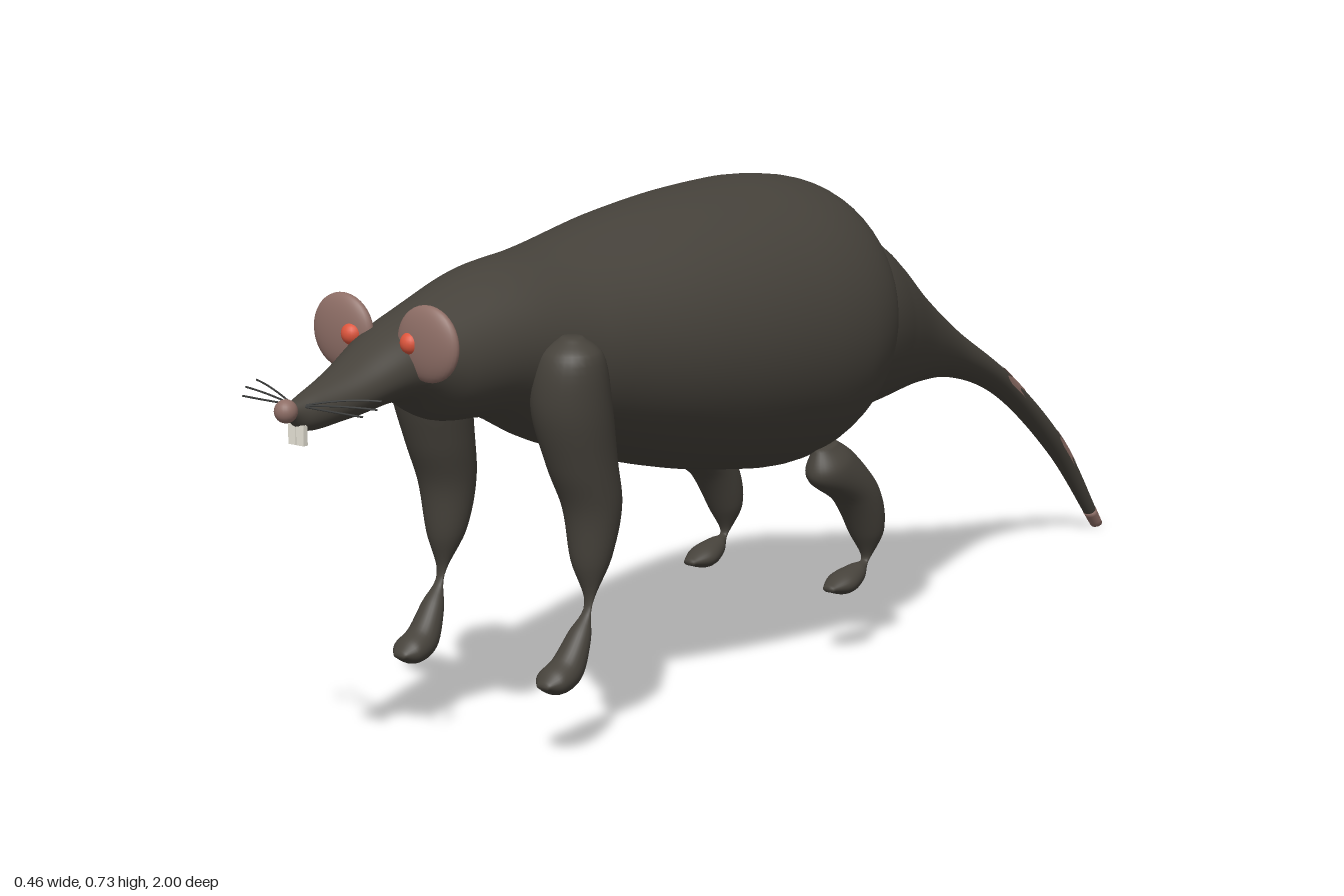
import * as THREE from 'three';
import { mergeVertices } from 'three/addons/utils/BufferGeometryUtils.js';

const mat = (name, color, side = THREE.FrontSide) => {
  const m = new THREE.MeshStandardMaterial({ color, side });
  m.name = name;
  return m;
};

// Smooth skin through elliptical rings. Ring: [zA, yA, zB, yB, centreX, halfWidth],
// where A and B are the two ends of the ellipse's axis in the side plane.
function loft(rings, { t0 = 0, t1 = 1, a0 = 0, a1 = Math.PI * 2, grow = 1, jag = 0, rows = 60, cols = 40, cap = true } = {}) {
  const A = new THREE.CatmullRomCurve3(rings.map(r => new THREE.Vector3(r[4], r[1], r[0])));
  const B = new THREE.CatmullRomCurve3(rings.map(r => new THREE.Vector3(r[4], r[3], r[2])));
  const W = new THREE.CatmullRomCurve3(rings.map((r, i) => new THREE.Vector3(r[5], i, 0)));
  const steps = [];
  if (cap) steps.push([t0, 0]);
  for (let i = 0; i <= rows; i++) steps.push([t0 + (t1 - t0) * i / rows, grow]);
  if (cap) steps.push([t1, 0]);
  const pos = [], idx = [];
  steps.forEach(([t, s], i) => {
    for (let j = 0; j <= cols; j++) {
      const ang = a0 + (a1 - a0) * j / cols;
      const u = Math.min(1, t + jag * (j % 4 < 2 ? 1 : 0));
      const p = A.getPoint(u), q = B.getPoint(u), w = Math.max(W.getPoint(u).x, 0.002);
      const c = p.clone().add(q).multiplyScalar(0.5);
      const k = Math.cos(ang) * s;
      pos.push(c.x + Math.sin(ang) * s * w, c.y + (p.y - c.y) * k, c.z + (p.z - c.z) * k);
      if (i && j) {
        const d = i * (cols + 1) + j, b = d - cols - 1;
        idx.push(b - 1, b, d - 1, b, d, d - 1);
      }
    }
  });
  let g = new THREE.BufferGeometry();
  g.setAttribute('position', new THREE.Float32BufferAttribute(pos, 3));
  g.setIndex(idx);
  g = mergeVertices(g, 1e-5);
  g.computeVertexNormals();
  return g;
}

export function createModel() {
  const root = new THREE.Group();
  root.name = 'rat';
  const fur = mat('fur', 0x46423b);
  const skin = mat('skin', 0x8e6e66);
  const bare = mat('bareSkin', 0x8e6e66, THREE.DoubleSide);
  const eyeRed = mat('eyeRed', 0xdc553c);
  const ivory = mat('ivory', 0xe6e2d6);
  const bristle = mat('bristle', 0x3c3d3c);
  const add = (name, geo, material, x = 0, y = 0, z = 0) => {
    const m = new THREE.Mesh(geo, material);
    m.name = name;
    m.position.set(x, y, z);
    root.add(m);
    return m;
  };

  // Head and trunk, from snout to rump
  add('body', loft([
    [0.985, 0.555, 0.98, 0.54, 0, 0.009],
    [0.945, 0.568, 0.955, 0.518, 0, 0.023],
    [0.87, 0.592, 0.88, 0.52, 0, 0.044],
    [0.78, 0.632, 0.78, 0.527, 0, 0.068],
    [0.70, 0.657, 0.70, 0.487, 0, 0.09],
    [0.585, 0.685, 0.595, 0.472, 0, 0.115],
    [0.45, 0.695, 0.47, 0.413, 0, 0.15],
    [0.25, 0.72, 0.25, 0.34, 0, 0.2],
    [0.08, 0.73, 0.08, 0.303, 0, 0.225],
    [-0.05, 0.727, -0.03, 0.291, 0, 0.226],
    [-0.14, 0.705, -0.10, 0.308, 0, 0.204],
    [-0.185, 0.66, -0.135, 0.335, 0, 0.165],
    [-0.19, 0.61, -0.145, 0.37, 0, 0.13],
  ], { rows: 90, cols: 56 }), fur);

  // Tail, thick at the root
  const tail = [
    [-0.17, 0.638, -0.125, 0.333, 0, 0.15],
    [-0.20, 0.64, -0.16, 0.334, 0, 0.156],
    [-0.27, 0.612, -0.27, 0.338, 0, 0.133],
    [-0.40, 0.512, -0.42, 0.346, 0, 0.085],
    [-0.53, 0.423, -0.54, 0.335, 0, 0.048],
    [-0.70, 0.318, -0.68, 0.283, 0, 0.026],
    [-0.87, 0.175, -0.85, 0.15, 0, 0.018],
    [-0.995, 0.012, -0.98, 0.003, 0, 0.01],
  ];
  add('tail', loft(tail, { rows: 70 }), fur);
  // Ragged bare patches on the tail's upper side and its bare tip
  for (const [t0, t1] of [[0.70, 0.735], [0.84, 0.88]])
    add('tailPatch', loft(tail, { t0, t1, a0: -1.6, a1: 1.6, grow: 1.06, jag: 0.014, rows: 6, cols: 16, cap: false }), bare);
  add('tailTip', loft(tail, { t0: 0.975, t1: 1, grow: 1.06, rows: 4, cols: 20 }), skin);

  // Leg rings run from the top down, back edge first
  const frontLeg = [
    [0.545, 0.598, 0.572, 0.597, 0.138, 0.015],
    [0.518, 0.575, 0.602, 0.57, 0.138, 0.045],
    [0.495, 0.5, 0.608, 0.5, 0.13, 0.057],
    [0.48, 0.42, 0.58, 0.41, 0.13, 0.05],
    [0.47, 0.35, 0.553, 0.345, 0.133, 0.042],
    [0.486, 0.28, 0.542, 0.27, 0.133, 0.03],
    [0.522, 0.212, 0.528, 0.21, 0.136, 0.007],
    [0.532, 0.158, 0.556, 0.178, 0.135, 0.018],
    [0.556, 0.108, 0.585, 0.145, 0.133, 0.025],
    [0.598, 0.096, 0.607, 0.132, 0.132, 0.026],
    [0.622, 0.108, 0.622, 0.116, 0.132, 0.01],
  ];
  const hindLeg = [
    [-0.065, 0.338, -0.02, 0.33, 0.128, 0.014],
    [-0.092, 0.32, -0.01, 0.285, 0.13, 0.033],
    [-0.15, 0.255, -0.075, 0.238, 0.134, 0.035],
    [-0.165, 0.19, -0.115, 0.18, 0.134, 0.028],
    [-0.14, 0.138, -0.134, 0.141, 0.134, 0.007],
    [-0.115, 0.108, -0.112, 0.138, 0.133, 0.018],
    [-0.08, 0.098, -0.078, 0.131, 0.132, 0.025],
    [-0.046, 0.107, -0.046, 0.116, 0.132, 0.01],
  ];

  for (const s of [1, -1]) {
    const side = s > 0 ? 'left' : 'right';
    const mirror = rings => rings.map(r => [...r.slice(0, 4), r[4] * s, r[5]]);
    add(side + 'FrontLeg', loft(mirror(frontLeg), { cols: 28 }), fur);
    add(side + 'HindLeg', loft(mirror(hindLeg), { cols: 28 }), fur);

    // Flat round ear, eye and front tooth
    add(side + 'Ear', new THREE.SphereGeometry(0.053, 32, 20), skin, s * 0.076, 0.616, 0.785).scale.z = 0.32;
    add(side + 'Eye', new THREE.SphereGeometry(0.016, 20, 14), eyeRed, s * 0.053, 0.616, 0.793);
    add(side + 'Tooth', new THREE.BoxGeometry(0.013, 0.028, 0.008), ivory, s * 0.0072, 0.514, 0.962);

    // Whiskers fan out and back from the snout
    for (const [x, y, z] of [[0.112, 0.566, 0.92], [0.118, 0.558, 0.935], [0.108, 0.55, 0.952]]) {
      const path = new THREE.QuadraticBezierCurve3(
        new THREE.Vector3(s * 0.008, 0.553, 0.962),
        new THREE.Vector3(s * 0.06, y + 0.002, (z + 0.962) / 2 + 0.004),
        new THREE.Vector3(s * x, y, z));
      add(side + 'Whisker', new THREE.TubeGeometry(path, 8, 0.0014, 5), bristle);
    }
  }
  add('nose', new THREE.SphereGeometry(0.016, 24, 16), skin, 0, 0.549, 0.984);
  return root;
}
